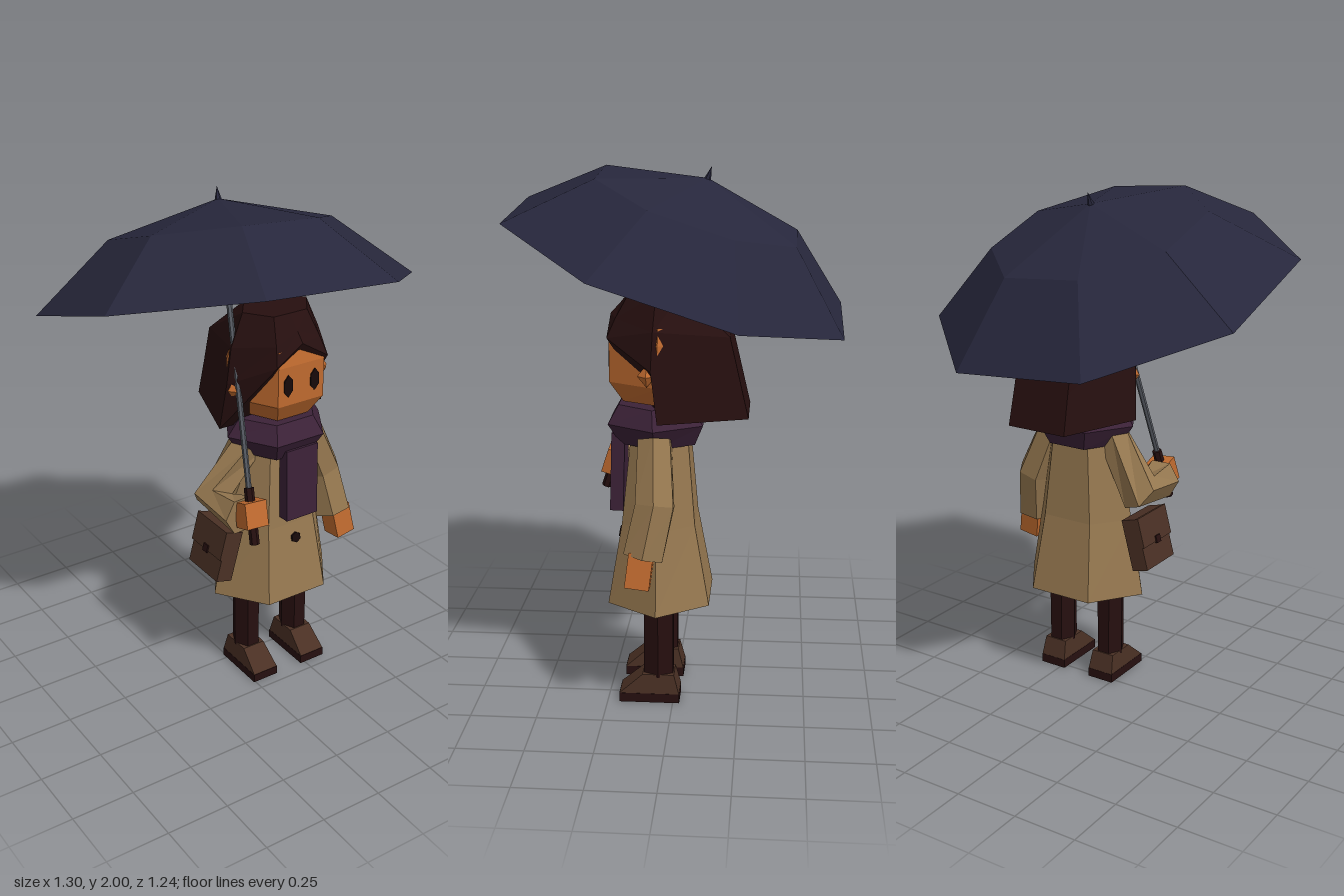
import * as THREE from 'three';

const V = (x, y, z) => new THREE.Vector3(x, y, z);
const mat = (name, color, extra = {}) =>
  Object.assign(new THREE.MeshStandardMaterial({ color, flatShading: true, ...extra }), { name });

// Horizontal ring of n points, running from +x towards +z
function ring(y, rx, rz, cz = 0, n = 6, phase = 0) {
  return Array.from({ length: n }, (_, i) => {
    const a = phase + (i / n) * Math.PI * 2;
    return V(Math.cos(a) * rx, y, cz + Math.sin(a) * rz);
  });
}

// Closed solid through equal-length rings, listed from top to bottom
function loft(rows) {
  const n = rows[0].length, last = (rows.length - 1) * n, idx = [];
  for (let r = 0; r < rows.length - 1; r++)
    for (let i = 0; i < n; i++) {
      const j = (i + 1) % n, a = r * n + i, b = r * n + j;
      idx.push(a, b, b + n, a, b + n, a + n);
    }
  for (let i = 1; i < n - 1; i++) idx.push(0, i + 1, i, last, last + i, last + i + 1);
  const g = new THREE.BufferGeometry().setFromPoints(rows.flat());
  g.setIndex(idx);
  g.computeVertexNormals();
  return g;
}

// Faceted sleeve following a bent path
function limb(path, radii, n = 6) {
  return loft(path.map((p, k) => {
    const d = path[Math.min(k + 1, path.length - 1)].clone().sub(path[Math.max(k - 1, 0)]).normalize();
    const u = V(1, 0, 0).addScaledVector(d, -d.x).normalize();
    const v = d.clone().cross(u);
    return Array.from({ length: n }, (_, i) => {
      const a = (i / n) * Math.PI * 2;
      return p.clone().addScaledVector(u, Math.cos(a) * radii[k]).addScaledVector(v, Math.sin(a) * radii[k]);
    });
  }));
}

export function createModel() {
  const model = new THREE.Group();
  const navy = mat('canopy navy', 0x27273c);
  const coatTan = mat('coat tan', 0x967850);
  const skin = mat('skin', 0xbf6a2f);
  const plum = mat('scarf plum', 0x3c2238);
  const dark = mat('dark brown', 0x260f0f);
  const leather = mat('leather brown', 0x4a3024);
  const steel = mat('pole grey', 0x565a62);
  const ink = mat('eye black', 0x160909);

  const add = (parent, name, geo, material, pos = [0, 0, 0], rot = [0, 0, 0]) => {
    const m = new THREE.Mesh(geo, material);
    m.name = name;
    m.position.set(...pos);
    m.rotation.set(...rot);
    parent.add(m);
    return m;
  };
  const box = (w, h, d) => new THREE.BoxGeometry(w, h, d);

  // Figure, standing off-centre beneath the umbrella
  const figure = new THREE.Group();
  figure.name = 'figure';
  figure.position.x = 0.168;
  model.add(figure);

  // Coat
  add(figure, 'coat', loft([
    ring(1.04, 0.16, 0.122, 0.055), ring(0.7, 0.215, 0.158, 0.058), ring(0.39, 0.27, 0.22, 0.056),
  ]), coatTan);
  add(figure, 'coatButton', new THREE.CylinderGeometry(0.022, 0.022, 0.012, 6), ink,
    [0.014, 0.637, 0.208], [Math.PI / 2 - 0.17, 0, 0]);

  // Legs and boots
  for (const s of [-1, 1]) {
    const leg = new THREE.Group();
    leg.name = s > 0 ? 'leftLeg' : 'rightLeg';
    leg.position.x = s * 0.118;
    figure.add(leg);
    add(leg, 'trouser', loft([ring(0.48, 0.055, 0.064, 0.056), ring(0.1, 0.053, 0.064, 0.056)]), dark);
    add(leg, 'sole', box(0.114, 0.036, 0.23), dark, [0, 0.018, 0.09]);
    const rect = (y, w, z0, z1) => [V(w, y, z0), V(w, y, z1), V(-w, y, z1), V(-w, y, z0)];
    add(leg, 'boot', loft([rect(0.112, 0.049, -0.004, 0.116), rect(0.036, 0.056, -0.024, 0.204)]), leather);
  }

  // Sleeves and the free hand
  add(figure, 'leftSleeve', limb(
    [V(0.15, 1.04, 0.066), V(0.243, 0.82, 0.058), V(0.272, 0.635, 0.098)], [0.068, 0.08, 0.083]), coatTan);
  add(figure, 'leftHand', box(0.085, 0.13, 0.09), skin, [0.297, 0.59, 0.11], [-0.12, 0, 0.17]);
  add(figure, 'rightSleeve', limb(
    [V(-0.13, 1.03, 0.062), V(-0.262, 0.83, 0.045), V(-0.25, 0.832, 0.225)], [0.068, 0.085, 0.08]), coatTan);

  // Scarf collar and hanging end
  add(figure, 'scarfCollar', loft([
    ring(1.155, 0.168, 0.15, 0.075), ring(1.085, 0.215, 0.203, 0.068), ring(1.005, 0.16, 0.16, 0.062),
  ]), plum);
  add(figure, 'scarfEnd', box(0.145, 0.3, 0.05), plum, [0.018, 0.895, 0.212], [-0.03, 0, 0]);

  // Head
  add(figure, 'neck', new THREE.CylinderGeometry(0.09, 0.09, 0.14, 6), skin, [0, 1.15, 0.06]);
  add(figure, 'head', loft([
    ring(1.46, 0.19, 0.2, 0.05), ring(1.4, 0.207, 0.215, 0.05),
    ring(1.245, 0.207, 0.215, 0.05), ring(1.165, 0.14, 0.16, 0.05),
  ]), skin);
  const eye = new THREE.CylinderGeometry(0.024, 0.024, 0.008, 6).rotateX(Math.PI / 2).scale(0.9, 1.85, 1);
  for (const s of [-1, 1]) {
    add(figure, 'eye', eye, ink, [s * 0.06, 1.325, 0.237]);
    add(figure, 'ear', new THREE.OctahedronGeometry(0.042).scale(0.7, 1, 0.8), skin, [s * 0.2, 1.29, 0.09]);
  }

  // Bobbed hair: half-outline columns mirrored, fringe parted at the centre
  const hairRow = (S, A, F, B) => {
    const flip = (p) => V(-p[0], p[1], p[2]);
    return [V(...S), V(...A), V(...F), flip(A), flip(S), flip(B), V(...B)];
  };
  add(figure, 'hair', loft([
    hairRow([0.145, 1.575, 0.06], [0.075, 1.575, 0.16], [0, 1.575, 0.16], [0.075, 1.575, -0.035]),
    hairRow([0.2, 1.45, 0.068], [0.098, 1.48, 0.212], [0, 1.52, 0.205], [0.12, 1.42, -0.205]),
    hairRow([0.223, 1.31, 0.074], [0.115, 1.41, 0.243], [0, 1.482, 0.24], [0.123, 1.27, -0.24]),
    hairRow([0.24, 1.12, 0.05], [0.115, 1.12, 0.05], [0, 1.12, 0.05], [0.128, 1.12, -0.275]),
  ]), dark);

  // Satchel with flap, hanging at the right side
  const bag = new THREE.Group();
  bag.name = 'satchel';
  bag.position.set(-0.112, 0.63, 0.08);
  bag.rotation.z = -0.26;
  model.add(bag);
  add(bag, 'satchelBody', box(0.07, 0.21, 0.2), leather);
  add(bag, 'satchelFlap', box(0.012, 0.12, 0.204), leather, [-0.038, 0.047, 0]);
  add(bag, 'satchelClasp', box(0.008, 0.03, 0.03), dark, [-0.046, -0.005, 0]);

  // Tilted umbrella, its local y running along the pole
  const umbrella = new THREE.Group();
  umbrella.name = 'umbrella';
  umbrella.position.y = 1.635;
  umbrella.quaternion.setFromUnitVectors(V(0, 1, 0), V(0.08, 0.947, -0.313).normalize());
  model.add(umbrella);
  const octagon = (pts) => new THREE.LatheGeometry(pts.map((p) => new THREE.Vector2(...p)), 8, Math.PI / 8);
  add(umbrella, 'canopy', octagon([[0.704, 0], [0.415, 0.24], [0, 0.345]]), navy);
  add(umbrella, 'canopyLining', octagon([[0, 0.15], [0.704, 0]]), navy);
  add(umbrella, 'canopyTip', new THREE.ConeGeometry(0.016, 0.06, 6), navy, [0, 0.36, 0]);
  add(umbrella, 'pole', new THREE.CylinderGeometry(0.011, 0.011, 0.95, 6), steel, [0, -0.3, 0]);
  add(umbrella, 'handle', new THREE.CylinderGeometry(0.019, 0.019, 0.22, 6), dark, [0, -0.84, 0]);
  add(umbrella, 'rightHand', box(0.096, 0.1, 0.075), skin, [0, -0.83, 0]);

  return model;
}
